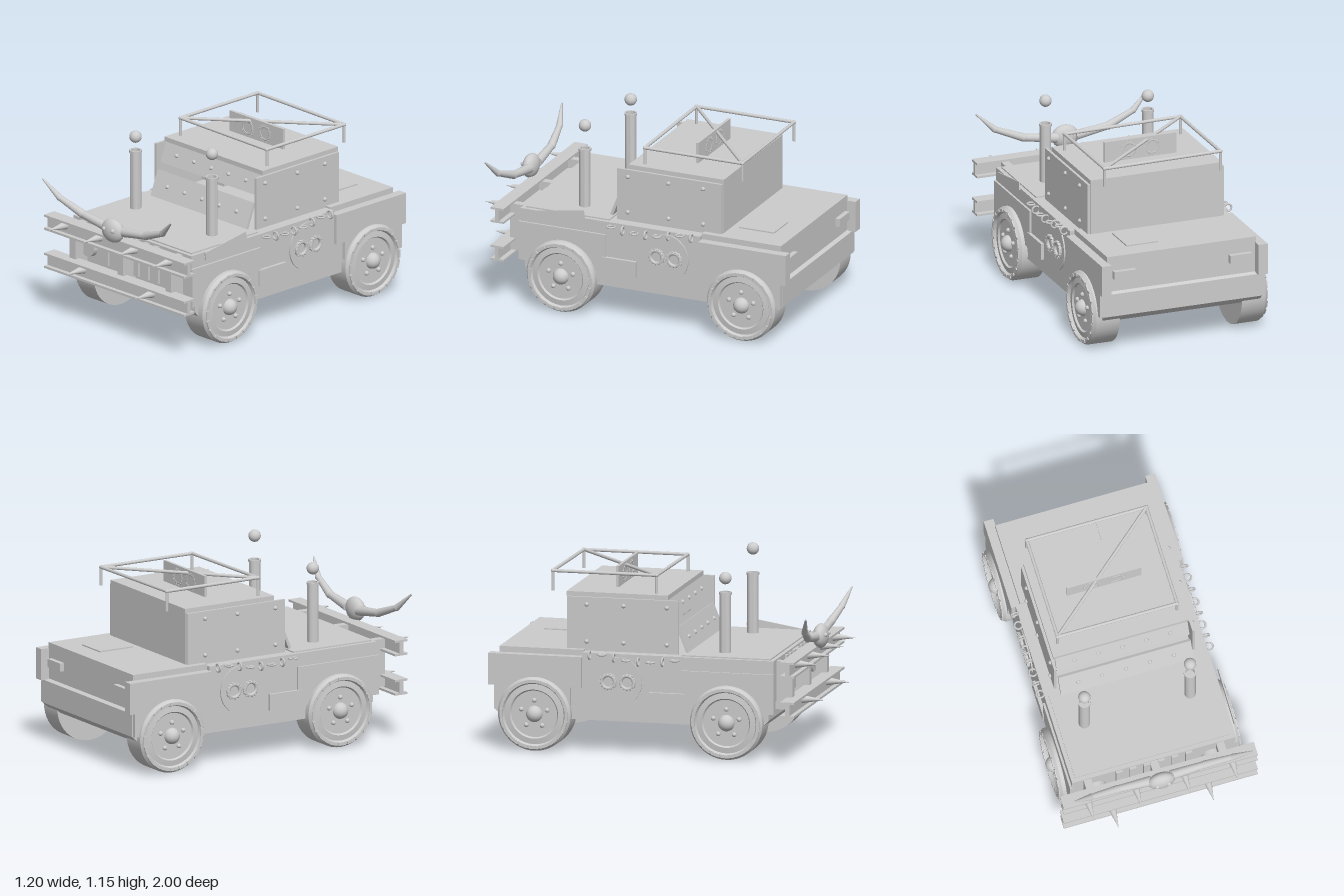
import * as THREE from 'three';
import { toCreasedNormals } from 'three/addons/utils/BufferGeometryUtils.js';

const grey = new THREE.MeshStandardMaterial({ color: 0xcccccc });
grey.name = 'bare metal grey';

export function createModel() {
  const model = new THREE.Group();
  model.name = 'armouredTruck';

  const add = (name, geo, x = 0, y = 0, z = 0, parent = model) => {
    const m = new THREE.Mesh(geo, grey);
    m.name = name;
    m.position.set(x, y, z);
    parent.add(m);
    return m;
  };
  // Box given by its min and max on each axis
  const box = (name, x0, x1, y0, y1, z0, z1, parent = model) =>
    add(name, new THREE.BoxGeometry(x1 - x0, y1 - y0, z1 - z0), (x0 + x1) / 2, (y0 + y1) / 2, (z0 + z1) / 2, parent);
  // Same box on both sides
  const pair = (name, x0, x1, ...rest) => {
    box(name, x0, x1, ...rest);
    box(name, -x1, -x0, ...rest);
  };
  const ball = (name, r, x, y, z, parent = model) => add(name, new THREE.SphereGeometry(r, 20, 14), x, y, z, parent);
  // Round bar between two points
  const rod = (name, a, b, ra, rb = ra) => {
    const p = new THREE.Vector3(...a), q = new THREE.Vector3(...b);
    const m = add(name, new THREE.CylinderGeometry(rb, ra, p.distanceTo(q), 14));
    m.position.copy(p).add(q).multiplyScalar(0.5);
    m.quaternion.setFromUnitVectors(new THREE.Vector3(0, 1, 0), q.sub(p).normalize());
    return m;
  };
  // Ring facing +z, studded like a small tyre
  const studdedRing = (name) => {
    const g = new THREE.Group();
    g.name = name;
    add('ringBody', new THREE.TorusGeometry(0.04, 0.011, 10, 28), 0, 0, 0, g);
    for (let i = 0; i < 14; i++) {
      const a = (i / 14) * Math.PI * 2;
      const stud = box('ringStud', -0.004, 0.004, -0.006, 0.006, -0.012, 0.012, g);
      stud.position.set(Math.cos(a) * 0.049, Math.sin(a) * 0.049, 0);
      stud.rotation.z = a;
    }
    model.add(g);
    return g;
  };

  // Body: side profile extruded across the width
  const profile = [[0.74, 0.6], [0.74, 0.35], [0.71, 0.35], [0.71, 0.24], [0.67, 0.195], [-0.92, 0.195],
    [-0.97, 0.24], [-0.97, 0.38], [-0.945, 0.39], [-0.945, 0.575], [-0.43, 0.575], [-0.43, 0.6]];
  const shape = new THREE.Shape(profile.map(([z, y]) => new THREE.Vector2(-z, y)));
  const bodyGeo = new THREE.ExtrudeGeometry(shape, { depth: 1.01, bevelEnabled: false });
  bodyGeo.translate(0, 0, -0.505).rotateY(Math.PI / 2);
  add('body', bodyGeo);
  box('hood', -0.48, 0.48, 0.59, 0.608, 0.17, 0.715);
  box('trunkLid', -0.475, 0.475, 0.57, 0.61, -0.945, -0.43);
  box('trunkPatch', 0.1, 0.3, 0.61, 0.618, -0.82, -0.59);
  pair('frontFender', 0.5, 0.518, 0.28, 0.52, 0.18, 0.745);
  pair('rearFender', 0.5, 0.53, 0.39, 0.575, -0.945, -0.43);
  pair('rearWheelSkirt', 0.5, 0.53, 0.24, 0.39, -0.965, -0.5);
  pair('rearCornerPost', 0.47, 0.53, 0.385, 0.575, -1, -0.94);
  pair('tailLight', 0.3, 0.44, 0.47, 0.52, -0.975, -0.94);
  pair('sideStep', 0.5, 0.525, 0.28, 0.38, -0.02, 0.2);
  const bentPlate = box('loosePlate', 0.525, 0.532, -0.025, 0.025, -0.17, 0.17);
  bentPlate.position.set(0.528, 0.607, 0.48);
  bentPlate.rotation.x = 0.16;

  // Wheels
  const tyre = [[0, 0.39], [0.222, 0.39], [0.222, 0.54], [0.208, 0.557], [0.19, 0.557], [0.182, 0.543],
    [0.148, 0.548], [0.14, 0.537], [0, 0.537]].map(p => new THREE.Vector2(...p));
  const tyreGeo = toCreasedNormals(new THREE.LatheGeometry(tyre, 48), 0.5).rotateZ(-Math.PI / 2);
  for (const s of [1, -1]) for (const z of [0.46, -0.715]) {
    const wheel = new THREE.Group();
    wheel.name = z > 0 ? 'frontWheel' : 'rearWheel';
    wheel.position.set(0, 0.222, z);
    if (s < 0) wheel.rotation.y = Math.PI;
    model.add(wheel);
    add('tyre', tyreGeo, 0, 0, 0, wheel);
    ball('hub', 0.05, 0.535, 0, 0, wheel);
    for (let i = 0; i < 5; i++) {
      const a = Math.PI / 2 + (i * Math.PI * 2) / 5;
      ball('wheelBolt', 0.014, 0.54, Math.sin(a) * 0.083, Math.cos(a) * 0.083, wheel);
    }
    for (let i = 0; i < 20; i++) {
      const a = (i * Math.PI) / 10;
      const lug = box('tyreLug', 0.55, 0.564, -0.009, 0.009, -0.025, 0.025, wheel);
      lug.position.set(0.556, Math.cos(a) * 0.199, Math.sin(a) * 0.199);
      lug.rotation.x = a;
    }
  }

  // Cab: plated sides, back, roof and two sloping front plates with a slit
  pair('cabSidePlate', 0.42, 0.436, 0.6, 0.922, -0.54, 0.14);
  box('cabBack', -0.42, 0.42, 0.6, 0.925, -0.545, -0.525);
  box('cabRoof', -0.42, 0.42, 0.922, 0.95, -0.548, 0.072);
  for (const [name, y0, z0, y1, z1, boltY] of [['lowerFrontPlate', 0.61, 0.19, 0.76, 0.13, 0.685], ['upperFrontPlate', 0.8, 0.105, 0.925, 0.06, 0.862]]) {
    const h = Math.hypot(y1 - y0, z1 - z0);
    const plate = add(name, new THREE.BoxGeometry(0.82, h, 0.018), 0, (y0 + y1) / 2, (z0 + z1) / 2);
    plate.rotation.x = -Math.atan2(z0 - z1, y1 - y0);
    for (let i = -2; i <= 2; i++) ball('plateBolt', 0.013, i * 0.148, boltY - (y0 + y1) / 2, 0.008, plate);
  }
  pair('slitHook', 0.02, 0.095, 0.77, 0.8, 0.03, 0.08);
  for (const s of [1, -1]) for (const z of [0.07, -0.195, -0.42]) for (const y of [0.655, 0.878])
    ball('cabBolt', 0.013, s * 0.438, y, z);

  // Roof board with rings
  box('roofBoard', -0.23, 0.23, 0.945, 1.077, -0.295, -0.278);
  for (const x of [-0.075, 0.073]) studdedRing('roofRing').position.set(x, 1.01, -0.286);

  // Roof rack
  const corners = [[-0.37, 1.06, -0.01], [0.37, 1.052, -0.01], [0.37, 1.052, -0.645], [-0.37, 1.06, -0.645]];
  corners.forEach((c, i) => {
    rod('rackBar', c, corners[(i + 1) % 4], 0.01);
    rod('rackLeg', [c[0], 0.94, c[2]], c, 0.009);
    ball('rackCorner', 0.012, ...c);
  });
  rod('rackDiagonal', corners[0], corners[2], 0.01);

  // Side discs with rings, and sagging chains
  for (const s of [1, -1]) {
    add('sideDisc', new THREE.CylinderGeometry(0.147, 0.147, 0.015, 40), s * 0.506, 0.435, -0.21).rotation.z = Math.PI / 2;
    for (const z of [-0.152, -0.268]) {
      const ring = studdedRing('sideRing');
      ring.position.set(s * 0.518, 0.433, z);
      ring.rotation.y = Math.PI / 2;
    }
    [0.58, 0.567, 0.562, 0.562, 0.567, 0.58, 0.595, 0.59].forEach((y, i) => {
      const link = add('chainLink', new THREE.TorusGeometry(0.023, 0.006, 8, 18), s * 0.523, y, 0.14 - i * 0.0745);
      if (i % 2 === 0) link.rotation.x = Math.PI / 2;
    });
  }

  // Exhaust stacks, each with a floating ball
  for (const [x, y] of [[-0.327, 1.055], [0.327, 1.115]]) {
    const stack = [[0, 0.6], [0.034, 0.6], [0.034, 0.957], [0.038, 0.957], [0.038, 0.972], [0.028, 0.972], [0.028, 0.93], [0, 0.93]];
    const geo = toCreasedNormals(new THREE.LatheGeometry(stack.map(p => new THREE.Vector2(...p)), 24), 0.6);
    add('exhaustStack', geo, x, 0, 0.4);
    ball('exhaustBall', 0.037, x, y, 0.4);
  }

  // Grille and headlights
  for (const x of [-0.215, -0.13, -0.045, 0.045, 0.13, 0.215])
    box('grilleBar', x - 0.02, x + 0.02, 0.36, 0.59, 0.735, 0.755);
  for (const s of [1, -1])
    add('headlight', new THREE.CylinderGeometry(0.06, 0.064, 0.035, 32), s * 0.358, 0.445, 0.752).rotation.x = Math.PI / 2;

  // Bumper beams, posts and spikes
  for (const [y, spikes] of [[0.52, [-0.445, -0.15, 0.15, 0.445]], [0.28, [-0.295, 0.295]]]) {
    box('beamTopFlange', -0.6, 0.6, y + 0.082, y + 0.095, 0.805, 0.89);
    box('beamBottomFlange', -0.6, 0.6, y, y + 0.013, 0.805, 0.89);
    box('beamWeb', -0.6, 0.6, y + 0.01, y + 0.085, 0.837, 0.862);
    for (const x of spikes)
      add('spike', new THREE.ConeGeometry(0.026, 0.14, 20), x, y + 0.062, 0.93).rotation.x = Math.PI / 2;
  }
  for (const x of [-0.41, 0, 0.41]) box('bumperPost', x - 0.024, x + 0.024, 0.3, 0.59, 0.735, 0.838);

  // Horned skull on the bumper
  ball('skull', 1, 0, 0.672, 0.9).scale.set(0.085, 0.073, 0.045);
  for (const s of [1, -1]) {
    ball('skullEye', 0.014, s * 0.036, 0.685, 0.936);
    const path = [[0.06, 0.675, 0.885, 0.03], [0.27, 0.705, 0.89, 0.025], [0.44, 0.77, 0.915, 0.02], [0.55, 0.87, 0.95, 0.005]];
    for (let i = 0; i < 3; i++) {
      const [a, b] = [path[i], path[i + 1]].map(p => [s * p[0], p[1], p[2]]);
      rod('horn', a, b, path[i][3], i < 2 ? path[i + 1][3] * 0.9 : 0.005);
      if (i) ball('hornJoint', path[i][3], ...a);
    }
  }
  return model;
}
